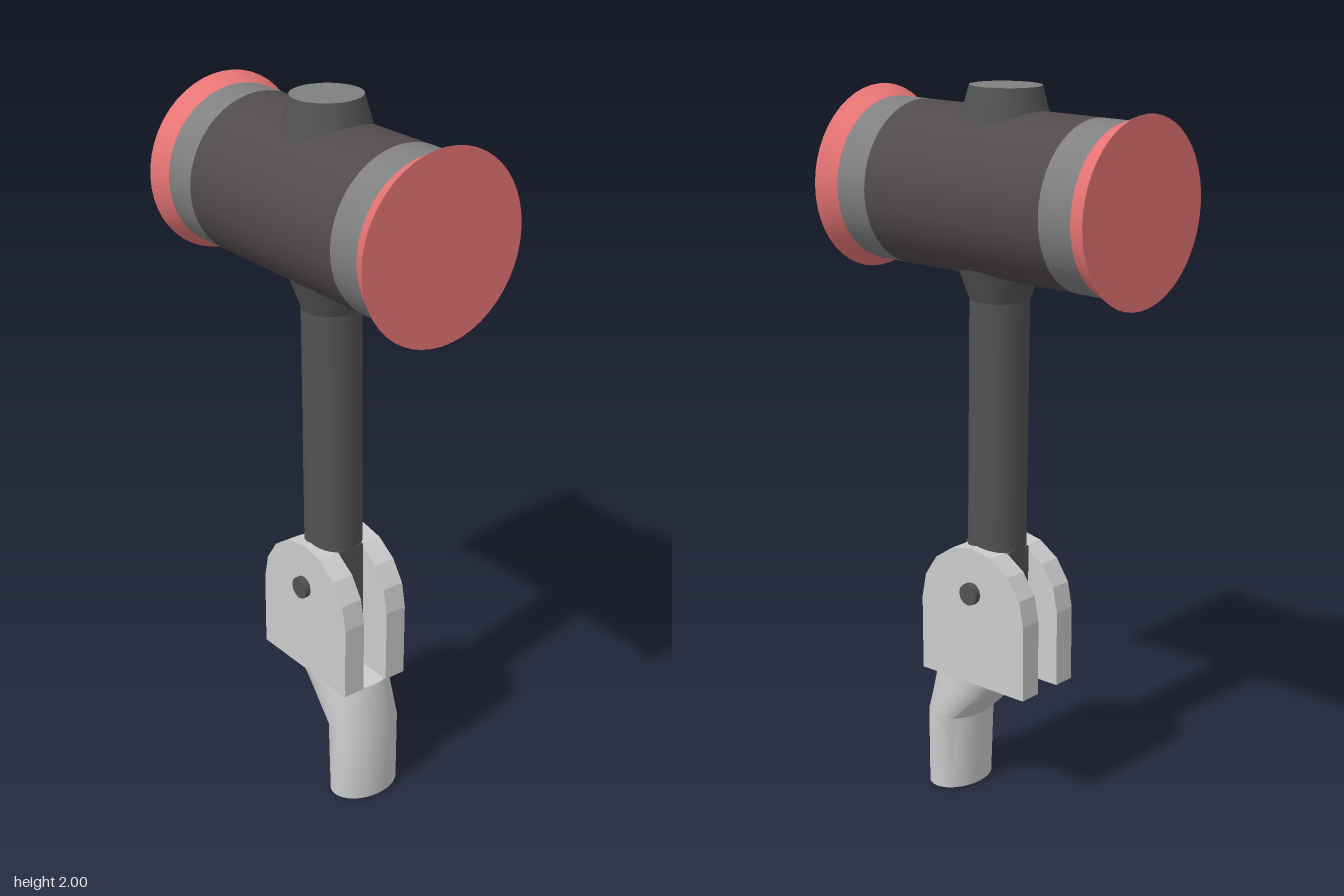
import * as THREE from 'three';
import { toCreasedNormals } from 'three/addons/utils/BufferGeometryUtils.js';

const material = (color) => new THREE.MeshStandardMaterial({ color });
const LIGHT = material(0xcccccc);
const GREY = material(0x808080);
const DARK = material(0x525252);
const BROWN = material(0x524b4c);
const RED = material(0xea7676);

function add(parent, name, geometry, mat, x = 0, y = 0, z = 0) {
  const mesh = new THREE.Mesh(geometry, mat);
  mesh.name = name;
  mesh.position.set(x, y, z);
  parent.add(mesh);
  return mesh;
}

// Closed loft through elliptical sections [y, centreZ, radiusX, radiusZ, power]
function loft(sections, sides) {
  const pos = [];
  const point = ([y, cz, rx, rz, power], i) => {
    const a = (i / sides) * Math.PI * 2;
    const bend = (v) => Math.sign(v) * Math.abs(v) ** (2 / power);
    return [rx * bend(Math.sin(a)), y, cz + rz * bend(Math.cos(a))];
  };
  const tri = (...pts) => pts.forEach((p) => pos.push(...p));
  const bottom = sections[0], top = sections[sections.length - 1];
  for (let i = 0; i < sides; i++) {
    for (let s = 0; s < sections.length - 1; s++) {
      const a = point(sections[s], i), b = point(sections[s], i + 1);
      const c = point(sections[s + 1], i + 1), d = point(sections[s + 1], i);
      tri(a, b, c);
      tri(a, c, d);
    }
    tri([0, bottom[0], bottom[1]], point(bottom, i + 1), point(bottom, i));
    tri([0, top[0], top[1]], point(top, i), point(top, i + 1));
  }
  const g = new THREE.BufferGeometry();
  g.setAttribute('position', new THREE.Float32BufferAttribute(pos, 3));
  return toCreasedNormals(g, 0.5);
}

export function createModel() {
  const model = new THREE.Group();
  model.name = 'hinged mallet';
  const PIN_Y = 0.63, PIN_Z = 0.034;

  // Oval grip that leans back into the fork
  add(model, 'grip', loft([
    [0, 0.174, 0.105, 0.075, 2],
    [0.22, 0.17, 0.105, 0.08, 2.1],
    [0.36, 0.084, 0.105, 0.137, 2.3],
  ], 32), LIGHT);

  // Two arched fork plates; the shape's x runs along -z
  const plate = new THREE.Shape();
  plate.moveTo(-0.185, 0.36);
  plate.lineTo(0.185, 0.36);
  for (let i = 0; i <= 8; i++) {
    const a = (i / 8) * Math.PI;
    plate.lineTo(0.185 * Math.cos(a), 0.575 + 0.185 * Math.sin(a));
  }
  plate.closePath();
  const plateGeo = new THREE.ExtrudeGeometry(plate, { depth: 0.065, bevelEnabled: false });
  plateGeo.rotateY(Math.PI / 2);
  add(model, 'leftForkPlate', plateGeo, LIGHT, 0.04, 0, 0.035);
  add(model, 'rightForkPlate', plateGeo, LIGHT, -0.105, 0, 0.035);

  // Hinge pin
  const pin = new THREE.CylinderGeometry(0.031, 0.031, 0.245, 12);
  pin.rotateZ(Math.PI / 2);
  add(model, 'hingePin', pin, DARK, 0, PIN_Y, PIN_Z);

  // Everything above the hinge leans back slightly around the pin
  const arm = new THREE.Group();
  arm.name = 'swingingArm';
  arm.position.set(0, PIN_Y, PIN_Z);
  arm.rotation.x = -0.0145;
  model.add(arm);

  add(arm, 'hingeTongue', new THREE.BoxGeometry(0.08, 0.275, 0.16), DARK, 0, -0.0175, 0);
  add(arm, 'shaft', new THREE.CylinderGeometry(0.081, 0.081, 0.9, 32), DARK, 0, 0.54, 0);
  add(arm, 'lowerCollar', new THREE.CylinderGeometry(0.125, 0.081, 0.12, 32), DARK, 0, 0.87, 0);

  // Mallet head, its axis along z
  const head = new THREE.Group();
  head.name = 'head';
  head.position.set(0, 1.09, -0.013);
  arm.add(head);
  const barrel = new THREE.CylinderGeometry(0.221, 0.221, 0.59, 48);
  barrel.rotateX(Math.PI / 2);
  add(head, 'barrel', barrel, BROWN);
  for (const [side, rim] of [[1, 0.25], [-1, 0.244]]) {
    const end = side > 0 ? 'front' : 'back';
    const band = new THREE.CylinderGeometry(0.221, 0.221, 0.1, 48);
    band.rotateX(side * Math.PI / 2);
    add(head, end + 'Band', band, GREY, 0, 0, side * 0.345);
    const face = new THREE.CylinderGeometry(rim, 0.221, 0.055, 48);
    face.rotateX(side * Math.PI / 2);
    add(head, end + 'StrikingFace', face, RED, 0, 0, side * 0.4225);
  }

  // Tapered cap where the shaft comes out of the head
  add(head, 'topCap', new THREE.CylinderGeometry(0.095, 0.128, 0.12, 32),
    [DARK, GREY, DARK], 0, 0.22, 0);

  return model;
}
